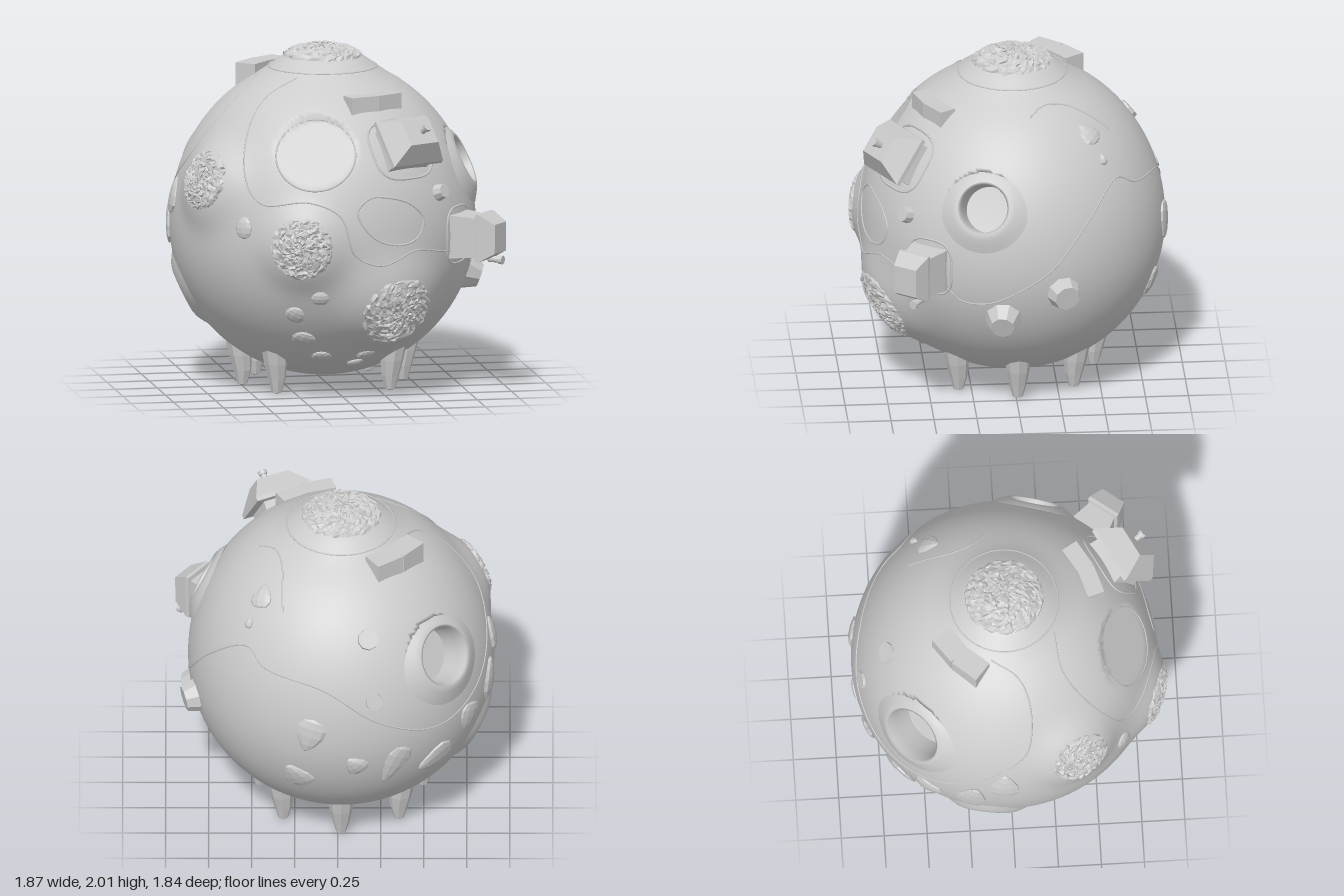
import * as THREE from 'three';

// Body: centre, horizontal radius, and vertical radii above and below the centre
const C = new THREE.Vector3(-0.02, 0.945, -0.01), R = 0.89, UP = 0.968, DOWN = 0.885;
const V = (x, y, z) => new THREE.Vector3(x, y, z).normalize();
const tall = y => (y > 0 ? UP : DOWN);
const third = (a, y) => R * Math.sqrt(Math.max(0.0001, 1 - (a / R) ** 2 - (y / tall(y)) ** 2));
const base = d => 1 / Math.hypot(d.x / R, d.z / R, d.y / tall(d.y));

// Directions from the centre, given two coordinates of a surface point
const front = (x, y) => V(x - C.x, y - C.y, third(x - C.x, y - C.y));
const right = (z, y) => V(third(z - C.z, y - C.y), y - C.y, z - C.z);

// Raised mounds: direction, height, spread, radius of rough cap
const mounds = [
  [V(0, 1, 0), 0.077, 0.26, 0.23],
  [front(-0.3, 0.94), 0.06, 0.23, 0.18],
  [front(0.26, 0.55), 0.07, 0.29, 0.22],
  [V(-0.83, 0.36, 0.43), 0.065, 0.24, 0.17],
];
// Craters: direction, radius of hole
const craters = [
  [right(0.21, 1.33), 0.14],
  [V(-0.655, 0.424, -0.62), 0.17],
  [V(-0.88, -0.44, -0.16), 0.13],
];
const lens = [front(-0.2, 1.48), 0.24];

// Distance of the skin from the centre in a direction
function skin(d) {
  let r = base(d);
  for (const [m, h, w] of mounds) r += h * Math.exp(-((d.angleTo(m) * R / w) ** 3.2));
  const a = d.angleTo(lens[0]), L = base(lens[0]);
  if (a < lens[1] / L) r = Math.min(r, L * Math.cos(lens[1] / L) / Math.cos(a) - 0.004);
  return r;
}
const onSkin = (d, lift = 0) => d.clone().multiplyScalar(skin(d) + lift).add(C);

function basis(d) {
  const up = Math.abs(d.y) > 0.99 ? new THREE.Vector3(0, 0, -1) : new THREE.Vector3(0, 1, 0);
  const x = up.cross(d).normalize();
  return [x, d.clone().cross(x), d];
}
// Direction found a, b units sideways and upwards along the skin from d
const offset = (d, a, b) => {
  const [x, y] = basis(d), r = base(d);
  return d.clone().addScaledVector(x, a / r).addScaledVector(y, b / r).normalize();
};

const mat = (o = {}) => new THREE.MeshStandardMaterial({ color: 0xcccccc, ...o });
const smooth = mat(), flat = mat({ flatShading: true }), thin = mat({ side: THREE.DoubleSide });

export function createModel() {
  const root = new THREE.Group();
  const add = (name, geo, m = flat, parent = root) => {
    const mesh = new THREE.Mesh(geo, m);
    mesh.name = name;
    parent.add(mesh);
    return mesh;
  };
  // Group whose +z points out of the skin
  const mount = (name, d, dist = base(d), roll = 0) => {
    const g = new THREE.Group();
    g.name = name;
    g.position.copy(C).addScaledVector(d, dist);
    g.quaternion.setFromRotationMatrix(new THREE.Matrix4().makeBasis(...basis(d)));
    g.rotateZ(roll);
    root.add(g);
    return g;
  };
  const seam = (name, dirs, closed = false, r = 0.005) => {
    const c = new THREE.CatmullRomCurve3(dirs.map(d => onSkin(d)), closed, 'centripetal');
    const n = dirs.length * 6;
    const path = new THREE.CatmullRomCurve3(
      c.getPoints(n).slice(0, closed ? n : n + 1).map(p => onSkin(p.sub(C).normalize())), closed);
    add(name, new THREE.TubeGeometry(path, n * 2, r, 5, closed), smooth);
  };
  const ring = (name, d, a, b, power = 1, r = 0.005) => seam(name, Array.from({ length: 16 }, (_, i) => {
    const t = i / 16 * Math.PI * 2, c = Math.cos(t), s = Math.sin(t);
    return offset(d, a * Math.sign(c) * Math.abs(c) ** power, b * Math.sign(s) * Math.abs(s) ** power);
  }), true, r);

  // Body, pushed in under the crater cups
  const body = new THREE.SphereGeometry(1, 200, 140);
  const p = body.attributes.position, v = new THREE.Vector3();
  for (let i = 0; i < p.count; i++) {
    v.fromBufferAttribute(p, i).normalize();
    let r = skin(v);
    for (const [d, h] of craters) if (v.angleTo(d) * R < h + 0.05) r -= 0.25;
    v.multiplyScalar(r).add(C);
    p.setXYZ(i, v.x, v.y, v.z);
  }
  body.computeVertexNormals();
  add('body', body, smooth);

  // Crater cups with a raised rim
  for (const [d, h] of craters) {
    const drop = r => Math.sqrt(R * R - r * r) - R;
    const pts = [[0.001, -0.18], [h * 0.96, -0.18], [h * 0.96, -0.175], [h * 0.98, -0.06], [h, 0.01], [h + 0.015, 0.016],
      [h + 0.045, drop(h + 0.045) + 0.024], [h + 0.08, drop(h + 0.08) + 0.012], [h + 0.12, drop(h + 0.12) - 0.004]];
    const geo = new THREE.LatheGeometry(pts.map(q => new THREE.Vector2(...q)), 40).rotateX(Math.PI / 2);
    add('craterCup', geo, thin, mount('crater', d));
  }

  // Rough caps on the mounds
  const hash = (a, b, seed) => {
    const s = Math.sin(Math.round(a * 1e4) * 12.9898 + Math.round(b * 1e4) * 78.233 + seed * 37.7) * 43758.5453;
    return s - Math.floor(s);
  };
  for (const [d, , , rad] of mounds) {
    const geo = new THREE.RingGeometry(0.002, rad, 60, 16), q = geo.attributes.position;
    for (let i = 0; i < q.count; i++) {
      const a = q.getX(i), b = q.getY(i), edge = Math.hypot(a, b) > rad * 0.98;
      const jitter = seed => (hash(a, b, seed) - 0.5) * 0.018;
      const w = onSkin(offset(d, a + jitter(1), b + jitter(2)), edge ? -0.006 : 0.018 * hash(a, b, 3));
      q.setXYZ(i, w.x, w.y, w.z);
    }
    add('roughCap', geo);
  }

  // Outlines and seams in the skin
  ring('topRing', mounds[0][0], 0.33, 0.33);
  ring('lensRim', lens[0], lens[1], lens[1], 1, 0.006);
  seam('patchOutline', [[0.02, 1.14], [0.1, 1.22], [0.2, 1.22], [0.35, 1.17], [0.43, 1.08], [0.4, 0.98], [0.28, 0.94], [0.12, 0.99]]
    .map(q => front(...q)), true, 0.006);
  seam('mainSeam', [
    ...[[-0.22, 1.84], [-0.42, 1.74], [-0.55, 1.55], [-0.57, 1.25], [-0.5, 1.18], [-0.25, 1.2], [-0.08, 1.12], [0, 0.9],
      [0.15, 0.83], [0.38, 0.9], [0.55, 0.87]].map(q => front(...q)),
    ...[[0.43, 0.83], [0.35, 0.76], [0.2, 0.75], [0, 0.84], [-0.2, 0.98], [-0.4, 1.22], [-0.58, 1.4]].map(q => right(...q)),
    V(0.5, 0.43, -0.75), V(0.11, 0.36, -0.925), V(-0.25, 0.125, -0.96), V(-0.63, -0.03, -0.776), V(-0.88, 0.07, -0.47),
    V(-0.93, 0.33, -0.1), V(-0.86, 0.5, 0.09), V(-0.65, 0.75, 0.13), V(-0.47, 0.87, 0.06), V(-0.36, 0.92, -0.1)]);
  seam('rearSeam', [[-0.08, 1.76], [-0.17, 1.8], [-0.3, 1.78], [-0.45, 1.7], [-0.55, 1.62]].map(q => right(...q)));

  // Square turrets lofted through levels of [distance, half width, half height], with a small nozzle
  const turret = (d, levels, nozzle) => {
    const g = mount('turret', d, 0);
    levels.slice(1).forEach(([z1, w1, h1], i) => {
      const [z0, w0, h0] = levels[i];
      const geo = new THREE.BoxGeometry(2, 2, z1 - z0).translate(0, 0, (z0 + z1) / 2), q = geo.attributes.position;
      for (let k = 0; k < q.count; k++) {
        const out = q.getZ(k) > (z0 + z1) / 2;
        q.setXY(k, q.getX(k) * (out ? w1 : w0), q.getY(k) * (out ? h1 : h0));
      }
      add('turretSection', geo, flat, g);
    });
    const n = add('nozzle', new THREE.CylinderGeometry(0.018, 0.018, 0.08, 10).rotateX(Math.PI / 2), flat, g);
    n.position.set(...nozzle);
    add('nozzleTip', new THREE.CylinderGeometry(0.026, 0.026, 0.025, 10).rotateX(Math.PI / 2).translate(0, 0, 0.04), flat, n);
  };
  const upper = V(0.39, 0.605, 0.745), side = V(0.8, -0.005, 0.6);
  turret(upper, [[0.8, 0.155, 0.135], [0.97, 0.13, 0.115], [0.975, 0.18, 0.15], [1.0, 0.18, 0.15], [1.12, 0.1, 0.08]], [0.02, 0.0, 1.13]);
  ring('turretOutline', upper, 0.21, 0.19, 0.65, 0.008);
  turret(side, [[0.8, 0.12, 0.13], [0.9, 0.115, 0.125], [1.03, 0.085, 0.115], [1.035, 0.1, 0.14], [1.055, 0.1, 0.14], [1.15, 0.075, 0.085]],
    [0.05, -0.14, 1.09]);
  ring('turretOutline', side, 0.15, 0.17, 0.65, 0.007);

  // Pairs of blocks near the top
  for (const [x, y, z, turn, depth, height] of [[0.19, 1.71, 0.48, 0.42, 0.1, 0.12], [-0.34, 1.79, -0.29, -2.4, 0.13, 0.16]]) {
    const g = new THREE.Group();
    g.name = 'blockPair';
    g.position.set(x, y, z);
    g.rotation.y = turn;
    root.add(g);
    for (const s of [-1, 1]) {
      const b = add('block', new THREE.BoxGeometry(0.175, height, depth), flat, g);
      b.position.set(s * 0.083, 0, -0.012);
      b.rotation.y = s * 0.12;
    }
  }

  // Faceted studs: direction, base radius, top radius, height
  for (const [d, r0, r1, h] of [
    [right(0.1, 0.65), 0.115, 0.07, 0.1], [right(-0.25, 0.81), 0.105, 0.075, 0.09],
    [front(0.54, 1.21), 0.055, 0.04, 0.07], [V(-0.17, 0.641, -0.748), 0.065, 0.06, 0.035], [V(-0.215, 0.282, -0.935), 0.056, 0.05, 0.035]]) {
    const g = mount('stud', d);
    add('studBody', new THREE.CylinderGeometry(r1, r0, h, 9).rotateX(Math.PI / 2).translate(0, 0, h / 2 - 0.02), flat, g);
  }

  // Scales: flattened wedges, each narrowing towards one end
  const scale = (name, d, w, h, roll, taper, t) => {
    const geo = new THREE.SphereGeometry(1, 9, 6), q = geo.attributes.position;
    for (let i = 0; i < q.count; i++) q.setX(i, q.getX(i) * (1 - taper * q.getY(i)));
    geo.scale(w, h, t);
    add(name, geo, flat, mount(name, d, skin(d), roll));
  };
  for (const [x, y, z, w, h, roll] of [
    [0.206, 0.037, -0.977, 0.085, 0.115, 2.9], [0.289, -0.343, -0.892, 0.09, 0.1, 0.5], [-0.096, -0.204, -0.975, 0.065, 0.07, 0.7],
    [-0.348, -0.245, -0.906, 0.07, 0.15, 2.75], [-0.615, -0.321, -0.72, 0.1, 0.125, 1.9], [-0.829, -0.11, -0.546, 0.085, 0.09, 2.8],
    [-0.965, -0.005, -0.262, 0.085, 0.13, -0.2], [-0.978, 0.205, -0.05, 0.08, 0.11, 0], [0.49, 0.75, -0.44, 0.065, 0.075, 0.4],
    [0.62, 0.66, -0.57, 0.025, 0.035, 0]]) scale('scale', V(x, y, z), w, h, roll, 0.5, 0.024);

  // Pebbles on the front
  for (const [x, y, w, h, roll] of [[-0.61, 1.04, 0.055, 0.065, 0], [-0.19, 0.64, 0.055, 0.045, 0], [-0.32, 0.53, 0.06, 0.055, -0.5],
    [-0.25, 0.37, 0.075, 0.06, -0.4], [-0.13, 0.25, 0.06, 0.05, 0], [0.13, 0.26, 0.06, 0.045, 0.2], [0.08, 0.2, 0.05, 0.03, 0.3]])
    scale('pebble', front(x, y), w, h, roll, 0.1, 0.022);

  // Seven claw feet, spaced an eighth of a turn apart with a gap in front
  for (let i = 1; i < 8; i++) {
    const g = new THREE.Group();
    g.name = 'foot';
    g.position.set(C.x, 0, C.z);
    g.rotation.y = i * Math.PI / 4;
    root.add(g);
    const prof = [[0.001, 0], [0.03, 0.01], [0.052, 0.09], [0.068, 0.18], [0.075, 0.27], [0.06, 0.32], [0.001, 0.34]];
    const claw = new THREE.LatheGeometry(prof.map(q => new THREE.Vector2(...q)), 8), q = claw.attributes.position;
    for (let k = 0; k < q.count; k++) q.setZ(k, q.getZ(k) + 0.475 + 0.14 * Math.max(0, q.getY(k) - 0.1));
    add('claw', claw, flat, g);
  }
  return root;
}
